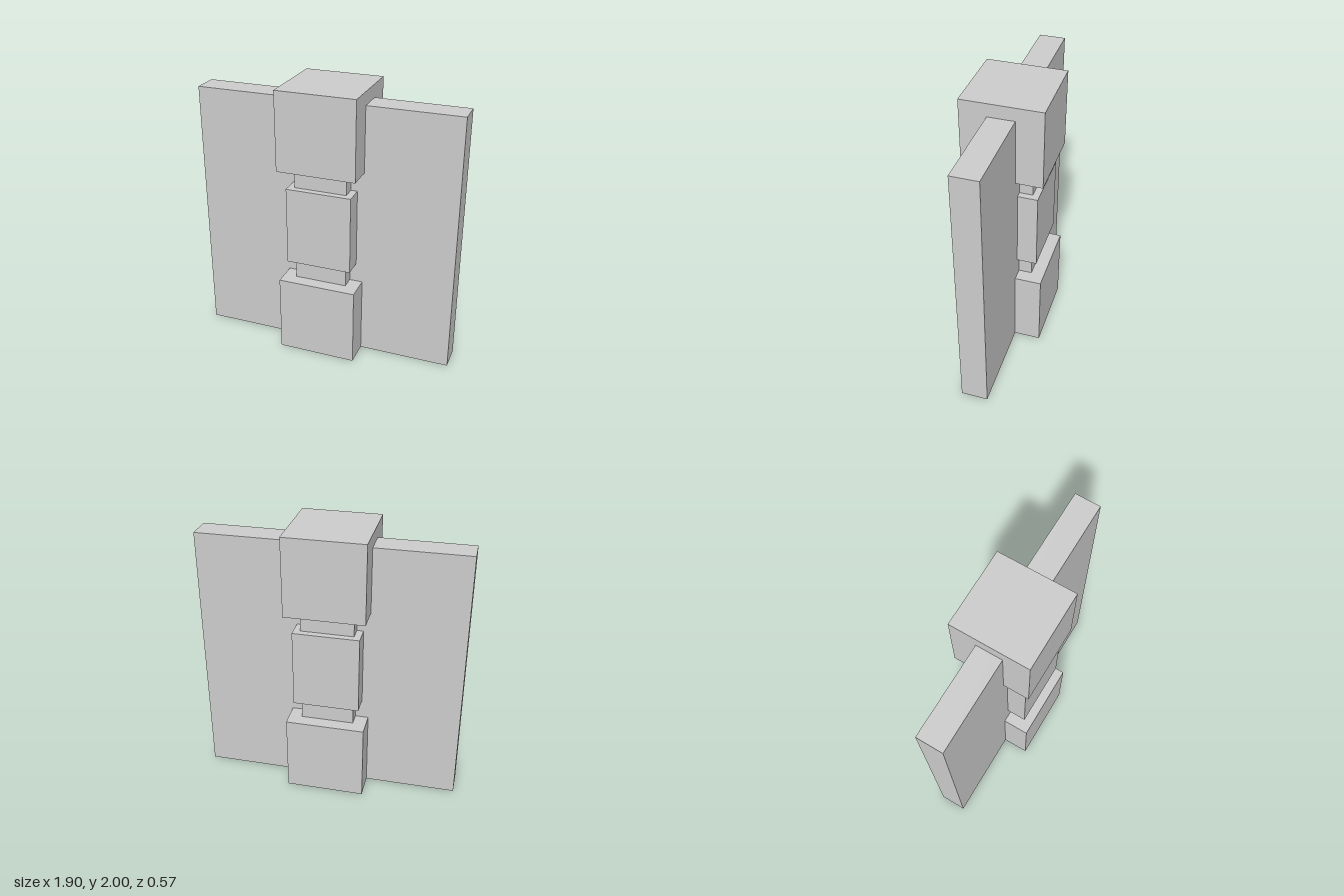
import * as THREE from 'three';

// The design sits on a square module: 21 units tall in total
const U = 2 / 21;

export function createModel() {
  const model = new THREE.Group();
  model.name = 'pillarWall';
  const material = new THREE.MeshStandardMaterial({ color: 0xcccccc, flatShading: true });

  // Box centred on x and z, spanning bottom..top, sizes in units
  const addBlock = (name, width, depth, bottom, top) => {
    const geometry = new THREE.BoxGeometry(width * U, (top - bottom) * U, depth * U);
    const mesh = new THREE.Mesh(geometry, material);
    mesh.name = name;
    mesh.position.y = ((bottom + top) / 2) * U;
    model.add(mesh);
  };

  // Thin wall running through the pillar
  addBlock('wallPanel', 20, 2, 0, 20);

  // Square pillar: base, neck, middle block, neck, capital
  addBlock('pillarBase', 6, 6, 0, 6);
  addBlock('lowerNeck', 4, 4, 6, 7.5);
  addBlock('middleBlock', 5, 5, 7.5, 13.5);
  addBlock('upperNeck', 4, 4, 13.5, 15);
  addBlock('pillarCapital', 6, 6, 15, 21);

  return model;
}
